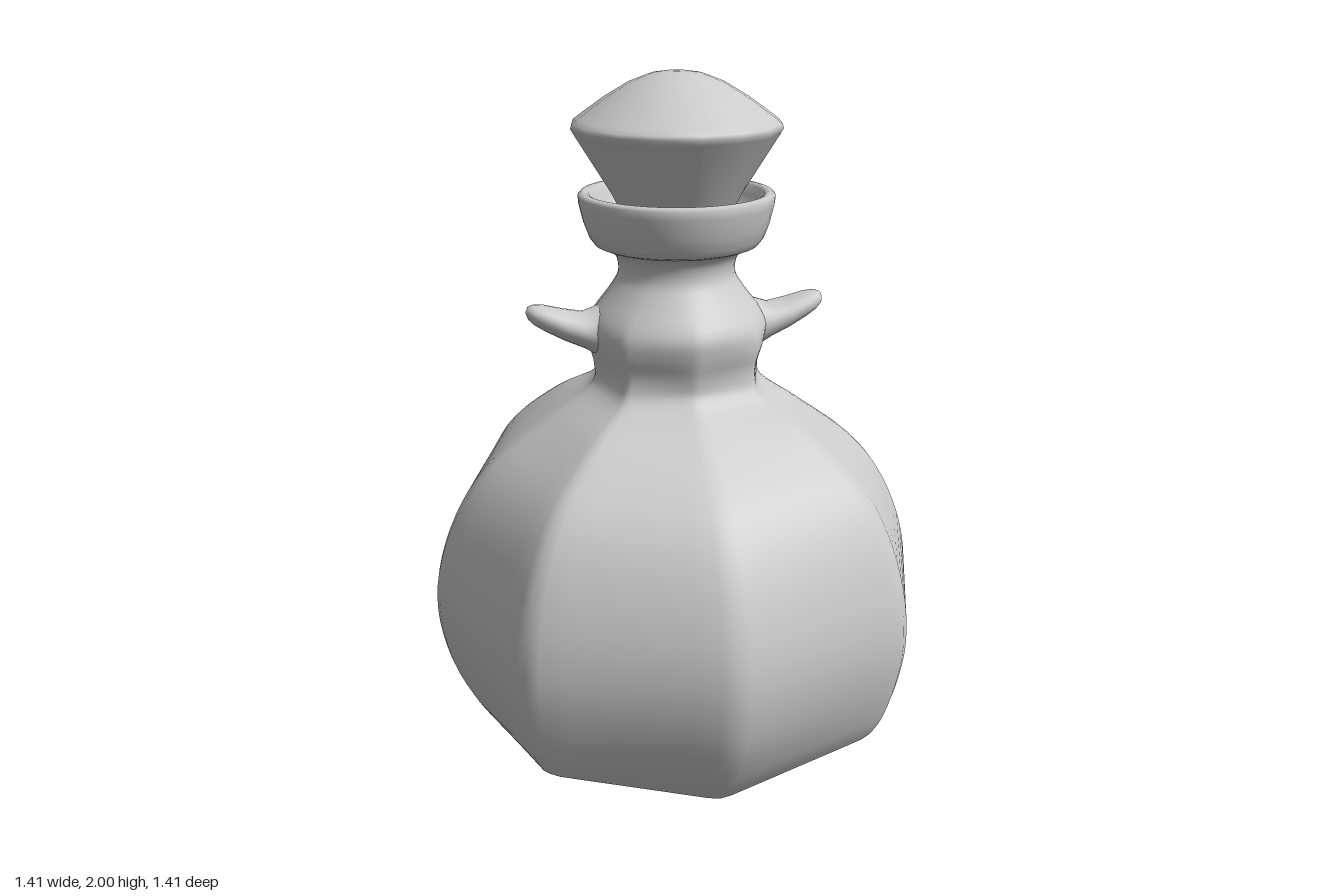
import * as THREE from 'three';

const material = new THREE.MeshStandardMaterial({ color: 0xcccccc });
const v2 = (list) => list.map(([r, y]) => new THREE.Vector2(r, y));

// Smooth skin over closed rings that all have the same number of points
function skin(rings) {
  const n = rings[0].length, index = [];
  for (let i = 0; i < rings.length - 1; i++) {
    for (let j = 0; j < n; j++) {
      const k = (j + 1) % n;
      const a = i * n + j, b = i * n + k, c = a + n, d = b + n;
      index.push(a, b, d, a, d, c);
    }
  }
  const geometry = new THREE.BufferGeometry().setFromPoints(rings.flat());
  geometry.setIndex(index);
  geometry.computeVertexNormals();
  return geometry;
}

function part(name, geometry) {
  const mesh = new THREE.Mesh(geometry, material);
  mesh.name = name;
  return mesh;
}

// Neck shape shared by both profiles (radius, height)
const neck = [[0.25, 1.33], [0.19, 1.41], [0.162, 1.46], [0.17, 1.51], [0.21, 1.54]];
// Profile through the corners on the axes, and through the diagonal corners
const axisProfile = new THREE.SplineCurve(v2([
  [0.545, 0.11], [0.61, 0.2], [0.68, 0.34], [0.712, 0.5], [0.695, 0.65], [0.63, 0.81],
  [0.53, 0.94], [0.37, 1.06], [0.25, 1.145], [0.237, 1.2], [0.252, 1.27], ...neck]));
const diagonalProfile = new THREE.SplineCurve(v2([
  [0.65, 0.2], [0.685, 0.26], [0.72, 0.37], [0.74, 0.5], [0.725, 0.65], [0.67, 0.81],
  [0.58, 0.94], [0.42, 1.06], [0.28, 1.135], [0.25, 1.2], [0.26, 1.27], ...neck]));

// Eight-sided cross-section with eased corners, becoming round up the neck
function section(t) {
  const corners = [axisProfile.getPoint(t), diagonalProfile.getPoint(t)];
  const round = THREE.MathUtils.smoothstep(corners[0].y, 1.15, 1.42);
  const points = [];
  for (let side = 0; side < 8; side++) {
    const a0 = side * Math.PI / 4, a1 = a0 + Math.PI / 4;
    const p = corners[side % 2], q = corners[(side + 1) % 2];
    for (const u of [0, 0.07, 0.2, 0.4, 0.6, 0.8, 0.93]) {
      const ease = u === 0 ? 0.988 : 1;
      const x = ease * THREE.MathUtils.lerp(p.x * Math.sin(a0), q.x * Math.sin(a1), u);
      const z = ease * THREE.MathUtils.lerp(p.x * Math.cos(a0), q.x * Math.cos(a1), u);
      const r = THREE.MathUtils.lerp(p.x, q.x, u);
      const grow = THREE.MathUtils.lerp(1, r / Math.hypot(x, z), round);
      points.push(new THREE.Vector3(x * grow, THREE.MathUtils.lerp(p.y, q.y, u), z * grow));
    }
  }
  return points;
}

function bottleGeometry() {
  const rim = section(0);
  // Shallow domed underside, then the walls and neck
  const rings = [0, 0.15, 0.35, 0.55, 0.75, 0.9, 0.97].map((s) =>
    rim.map((p) => new THREE.Vector3(p.x * s, p.y * s ** 1.7, p.z * s)));
  const steps = 60;
  for (let i = 0; i <= steps; i++) {
    rings.push(section(i / steps));
    if (i === 0) rings.push(section(0.004));
  }
  return skin(rings);
}

// Blunt, slightly raised side spike: x, centre height, half height, half depth
function spikeGeometry() {
  const stations = [
    [0.16, 1.305, 0.085, 0.09], [0.235, 1.303, 0.064, 0.078], [0.265, 1.307, 0.05, 0.07],
    [0.32, 1.325, 0.043, 0.062], [0.37, 1.345, 0.036, 0.05], [0.4, 1.356, 0.028, 0.037],
    [0.416, 1.361, 0.017, 0.022], [0.423, 1.363, 0, 0]];
  return skin(stations.map(([x, y, h, d]) => Array.from({ length: 20 }, (_, i) => {
    const a = i * Math.PI / 10;
    return new THREE.Vector3(x, y + h * Math.cos(a), d * Math.sin(a));
  })));
}

export function createModel() {
  const model = new THREE.Group();
  model.name = 'stopperedBottle';
  model.add(part('bottle', bottleGeometry()));

  // Spikes on both sides of the neck
  const spike = spikeGeometry();
  const left = part('leftSpike', spike);
  const right = part('rightSpike', spike);
  right.rotation.y = Math.PI;
  model.add(left, right);

  // Cup-shaped lip around the mouth
  model.add(part('lip', new THREE.LatheGeometry(v2([
    [0.15, 1.53], [0.205, 1.532], [0.225, 1.54], [0.24, 1.56], [0.255, 1.6], [0.267, 1.65],
    [0.269, 1.672], [0.262, 1.68], [0.25, 1.682], [0.238, 1.676], [0.23, 1.65],
    [0.215, 1.615], [0.19, 1.6], [0, 1.598]]), 48)));

  // Flared stopper with a domed top
  model.add(part('stopper', new THREE.LatheGeometry(v2([
    [0, 1.6], [0.138, 1.6], [0.142, 1.605], [0.18, 1.68], [0.28, 1.841], [0.288, 1.855],
    [0.285, 1.866], [0.27, 1.878], [0.2, 1.928], [0.13, 1.97], [0.07, 1.993], [0.03, 1.999],
    [0, 2]]), 16)));
  return model;
}
